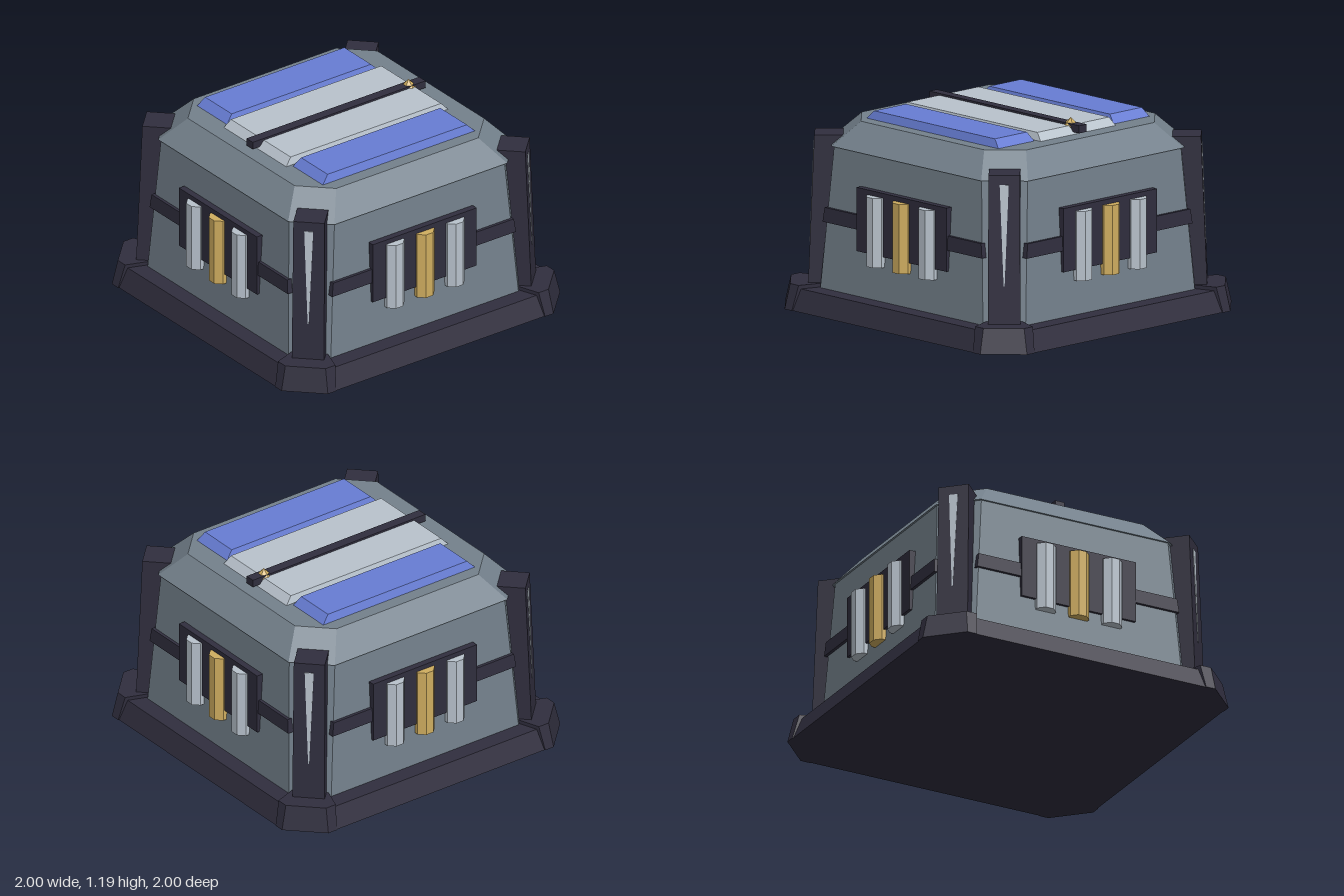
import * as THREE from 'three';

const paint = (name, color) => {
  const m = new THREE.MeshStandardMaterial({ color });
  m.name = name;
  return m;
};

// Cross-section helpers: [x, z] corners in order of rising angle
const octagon = (h, c) => [[h, -c], [h, c], [c, h], [-c, h], [-h, c], [-h, -c], [-c, -h], [c, -h]];
const rect = (x0, x1, z0, z1) => [[x1, z0], [x1, z1], [x0, z1], [x0, z0]];

// Closed flat-faced solid through stacked sections: [[y, corners], ...]
function loft(sections) {
  const rings = sections.map(([y, pts]) => pts.map(([x, z]) => [x, y, z]));
  const n = rings[0].length, pos = [];
  const tri = (a, b, c) => pos.push(...a, ...b, ...c);
  for (let r = 0; r < rings.length - 1; r++) {
    for (let i = 0; i < n; i++) {
      const j = (i + 1) % n, lo = rings[r], hi = rings[r + 1];
      tri(lo[i], hi[i], lo[j]);
      tri(lo[j], hi[i], hi[j]);
    }
  }
  const first = rings[0], last = rings[rings.length - 1];
  for (let i = 1; i < n - 1; i++) {
    tri(first[0], first[i], first[i + 1]);
    tri(last[0], last[i + 1], last[i]);
  }
  const g = new THREE.BufferGeometry();
  g.setAttribute('position', new THREE.Float32BufferAttribute(pos, 3));
  g.computeVertexNormals();
  return g;
}

export function createModel() {
  const grey = paint('slate grey', 0x74818c);
  const dark = paint('dark trim', 0x302e3e);
  const blue = paint('blue panel', 0x677dd4);
  const silver = paint('silver', 0xb9c3cd);
  const gold = paint('gold', 0xd0ae60);

  const model = new THREE.Group();
  model.name = 'building';
  const add = (parent, name, geo, mat, x = 0, y = 0, z = 0) => {
    const m = new THREE.Mesh(geo, mat);
    m.name = name;
    m.position.set(x, y, z);
    parent.add(m);
    return m;
  };

  // Plinth
  add(model, 'plinth', loft([[0, octagon(0.995, 0.81)], [0.125, octagon(0.95, 0.78)]]), dark);

  // Walls and bevelled roof
  add(model, 'walls', loft([[0.1, octagon(0.848, 0.675)], [0.965, octagon(0.797, 0.61)]]), grey);
  add(model, 'roof', loft([[0.96, octagon(0.81, 0.62)], [1.105, octagon(0.68, 0.51)]]), grey);

  // Shared shapes for the four sides and corners
  const columnGeo = new THREE.CylinderGeometry(0.067, 0.067, 0.41, 8).toNonIndexed();
  columnGeo.rotateY(Math.PI / 8);
  columnGeo.computeVertexNormals();
  const bandGeo = loft([
    [0.515, rect(-0.66, 0.66, 0.76, 0.842)],
    [0.6, rect(-0.648, 0.648, 0.76, 0.837)],
  ]);
  const footGeo = loft([
    [0, [[1, 0.75], [1, 0.81], [0.81, 1], [0.75, 1], [0.6, 0.6]]],
    [0.147, [[0.965, 0.73], [0.965, 0.8], [0.8, 0.965], [0.73, 0.965], [0.6, 0.6]]],
  ]);
  const pillarGeo = loft([
    [0.1, rect(0.9, 1.147, -0.094, 0.094)],
    [1.017, rect(0.9, 1.11, -0.09, 0.09)],
  ]);
  const slitGeo = loft([
    [0.37, rect(1.125, 1.139, -0.003, 0.003)],
    [0.96, rect(1.1, 1.116, -0.026, 0.026)],
  ]);

  for (let k = 0; k < 4; k++) {
    // Side: belt, backing plate and three columns
    const side = new THREE.Group();
    side.name = 'side';
    side.rotation.y = k * Math.PI / 2;
    add(side, 'belt', bandGeo, dark);
    add(side, 'backingPlate', new THREE.BoxGeometry(0.745, 0.375, 0.07), dark, 0, 0.578, 0.813);
    for (const i of [-1, 0, 1]) {
      add(side, 'column', columnGeo, i ? silver : gold, i * 0.216, 0.532, 0.832);
    }
    model.add(side);

    // Corner: foot, buttress and tapering light slit
    const corner = new THREE.Group();
    corner.name = 'corner';
    corner.rotation.y = k * Math.PI / 2;
    add(corner, 'foot', footGeo, dark);
    add(corner, 'buttress', pillarGeo, dark).rotation.y = Math.PI / 4;
    add(corner, 'lightSlit', slitGeo, silver).rotation.y = Math.PI / 4;
    model.add(corner);
  }

  // Roof panels with bevelled edges
  add(model, 'centrePanel', loft([
    [1.09, rect(-0.595, 0.595, -0.303, 0.303)],
    [1.15, rect(-0.54, 0.54, -0.285, 0.285)],
  ]), silver);
  for (const s of [-1, 1]) {
    add(model, 'bluePanel', loft([
      [1.09, rect(-0.56, 0.56, -0.148, 0.148)],
      [1.153, rect(-0.5, 0.5, -0.127, 0.127)],
    ]), blue, 0, 0, s * 0.458);
  }

  // Roof rail with a faceted gold stud
  add(model, 'roofRail', new THREE.BoxGeometry(1.24, 0.045, 0.06), dark, 0, 1.139, 0);
  const studGeo = new THREE.SphereGeometry(0.05, 6, 2).toNonIndexed();
  studGeo.rotateY(Math.PI / 2);
  studGeo.computeVertexNormals();
  add(model, 'stud', studGeo, gold, 0.52, 1.143, 0);

  return model;
}
